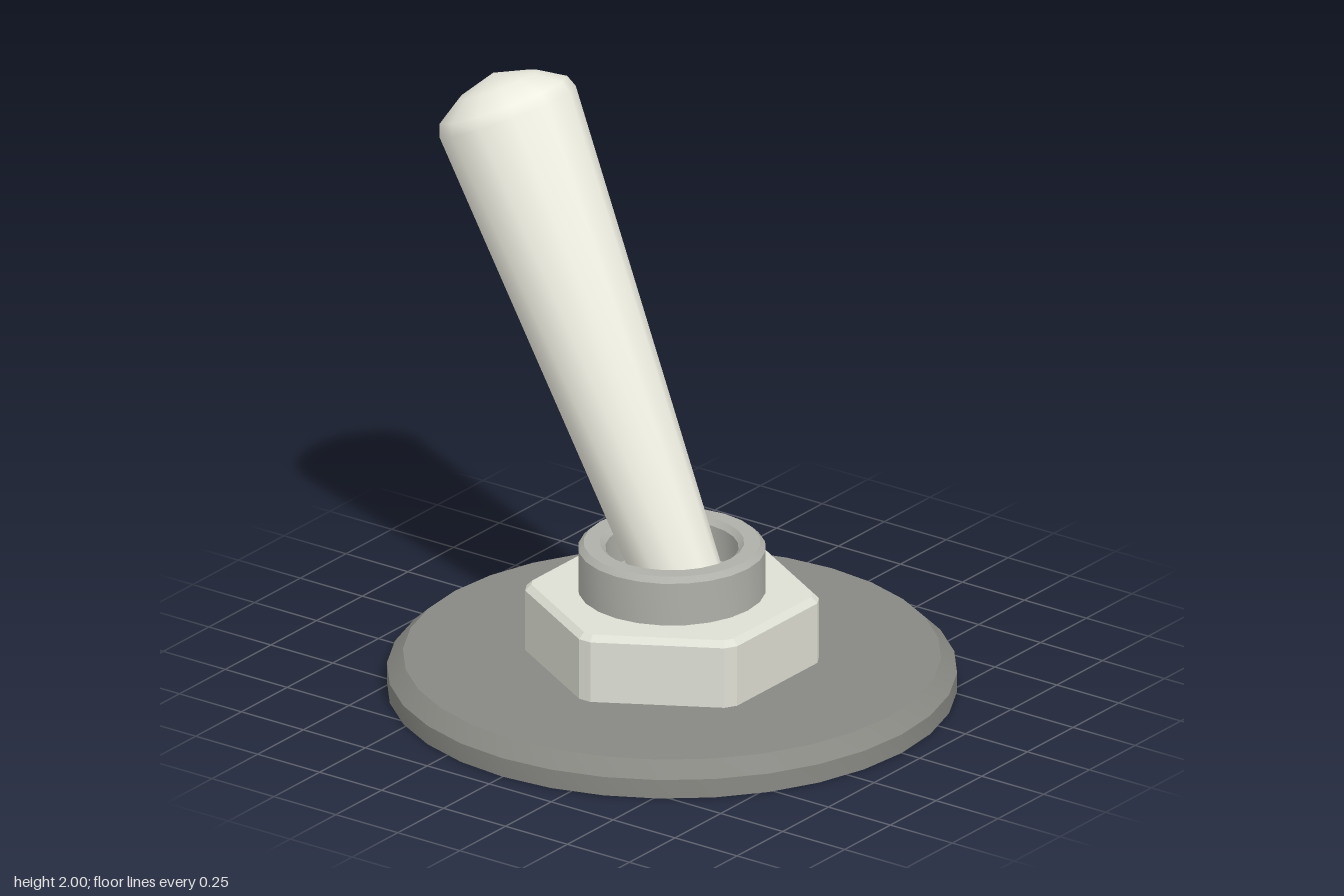
import * as THREE from 'three';
import { toCreasedNormals } from 'three/addons/utils/BufferGeometryUtils.js';

const rad = THREE.MathUtils.degToRad;

function addMesh(parent, name, geometry, color) {
  const mesh = new THREE.Mesh(geometry, new THREE.MeshStandardMaterial({ color }));
  mesh.name = name;
  parent.add(mesh);
  return mesh;
}

// Turned part from [radius, height] pairs, listed from the bottom up
function turned(profile, sides, crease, start = 0) {
  const points = profile.map(([r, y]) => new THREE.Vector2(r, y));
  return toCreasedNormals(new THREE.LatheGeometry(points, sides, start), rad(crease));
}

// Hexagon with slightly clipped corners, flats facing front and back
function hexShape(apothem, clip) {
  const radius = apothem / Math.cos(Math.PI / 6);
  const points = [];
  for (let i = 0; i < 6; i++) {
    const corner = (k) => new THREE.Vector2(Math.cos(k * Math.PI / 3), Math.sin(k * Math.PI / 3)).multiplyScalar(radius);
    const c = corner(i);
    points.push(c.clone().lerp(corner(i - 1), clip / radius));
    points.push(c.clone().lerp(corner(i + 1), clip / radius));
  }
  return new THREE.Shape(points);
}

export function createModel() {
  const model = new THREE.Group();
  model.name = 'toggleSwitch';

  // Round mounting plate with a chamfered rim
  addMesh(model, 'basePlate', turned(
    [[0, 0], [0.927, 0], [0.927, 0.065], [0.875, 0.115], [0, 0.115]], 32, 30), 0x888883);

  // Hexagonal nut; its lower bevel is sunk into the plate
  const bevel = 0.02;
  const nut = new THREE.ExtrudeGeometry(hexShape(0.425 - bevel, 0.02), {
    depth: 0.235, bevelEnabled: true, bevelThickness: bevel, bevelSize: bevel, bevelSegments: 1,
  });
  nut.rotateX(-Math.PI / 2);
  addMesh(model, 'hexNut', nut, 0xdedfd4).position.y = 0.09;

  // Collar with chamfered lips and a recessed floor
  addMesh(model, 'collar', turned(
    [[0.306, 0.3], [0.306, 0.492], [0.288, 0.51], [0.235, 0.51], [0.217, 0.492], [0.217, 0.38], [0, 0.38]],
    24, 30), 0xb0b0aa);

  // Tapered lever with a domed tip, tilted to the back
  const lever = addMesh(model, 'lever', turned(
    [[0, 0], [0.133, 0], [0.237, 1.78], [0.222, 1.82], [0.135, 1.875], [0, 1.915]],
    12, 45, rad(15)), 0xeeeee2);
  lever.position.set(0, 0.253, 0.097);
  lever.rotation.x = rad(-25.3);

  return model;
}
